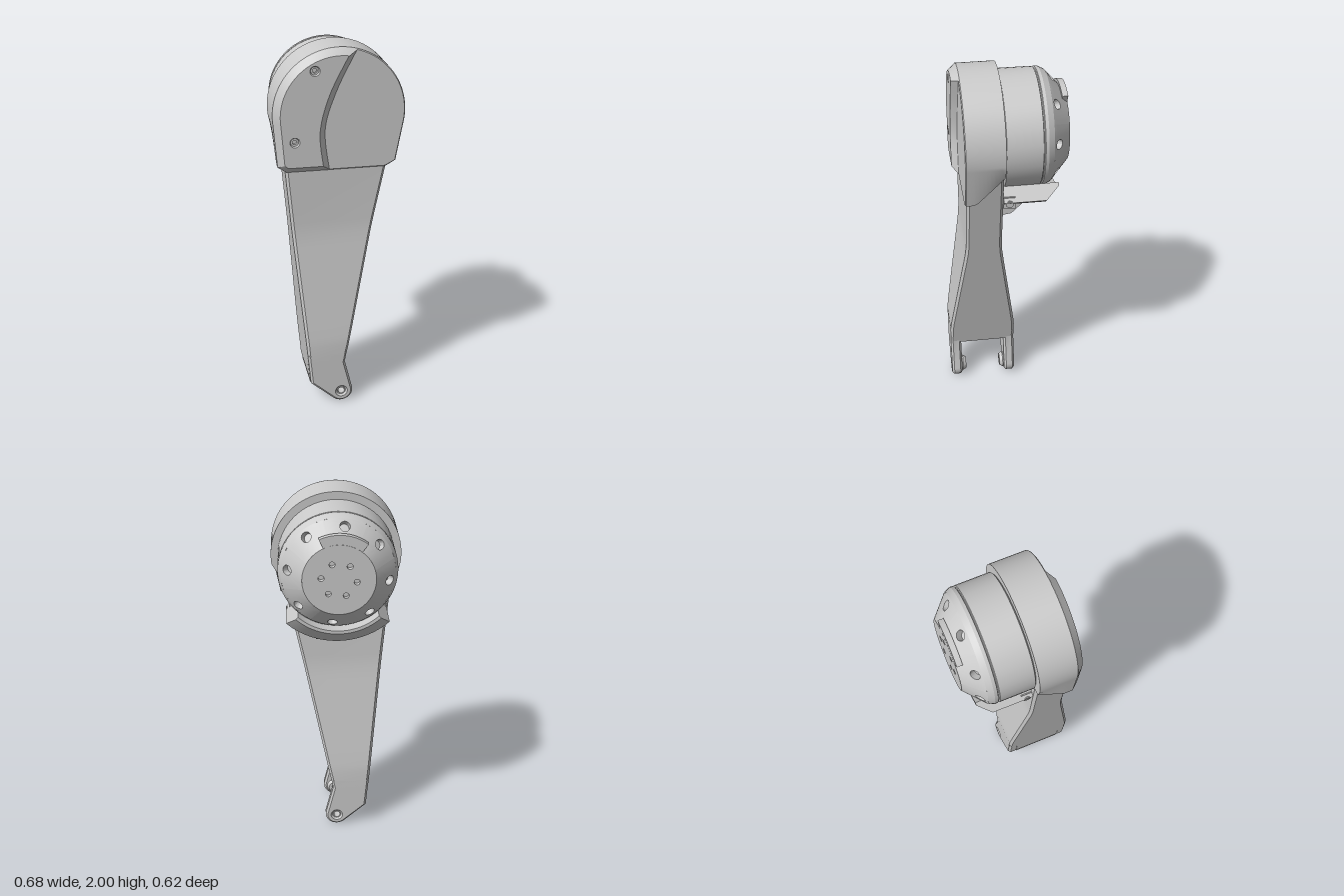
import * as THREE from 'three';
import { toCreasedNormals } from 'three/addons/utils/BufferGeometryUtils.js';
import { ParametricGeometry } from 'three/addons/geometries/ParametricGeometry.js';

const grey = new THREE.MeshStandardMaterial({ color: 0xcccccc });
const greyDouble = new THREE.MeshStandardMaterial({ color: 0xcccccc, side: THREE.DoubleSide });
const V2 = (x, y) => new THREE.Vector2(x, y);
const lerp = THREE.MathUtils.lerp;
const rad = THREE.MathUtils.degToRad;
const AXIS_Y = 1.658;

function part(parent, name, geometry, material = grey, crease = 0.5) {
  const mesh = new THREE.Mesh(toCreasedNormals(geometry, crease), material);
  mesh.name = name;
  parent.add(mesh);
  return mesh;
}

// Skin over equal-length loops (counter-clockwise in xy, rising in z), closed at both ends
function loft(loops, capEnd = true) {
  const n = loops[0].length, index = [];
  for (let k = 0; k < loops.length - 1; k++) {
    for (let i = 0; i < n; i++) {
      const a = k * n + i, b = k * n + (i + 1) % n;
      index.push(a, b, b + n, a, b + n, a + n);
    }
  }
  const cap = loop => THREE.ShapeUtils.triangulateShape(loop.map(p => V2(p.x, p.y)), []);
  for (const [a, b, c] of cap(loops[0])) index.push(a, c, b);
  const last = (loops.length - 1) * n;
  if (capEnd) for (const [a, b, c] of cap(loops.at(-1))) index.push(last + a, last + b, last + c);
  const g = new THREE.BufferGeometry().setFromPoints(loops.flat());
  g.setIndex(index);
  return g;
}

const atZ = (pts, z) => pts.map(p => new THREE.Vector3(p.x, p.y, z));
const arc = (cx, cy, r, from, to, n) => Array.from({ length: n + 1 }, (_, i) => {
  const a = rad(lerp(from, to, i / n));
  return V2(cx + r * Math.cos(a), cy + r * Math.sin(a));
});
const circlePath = (x, y, r) => new THREE.Path().absarc(x, y, r, 0, Math.PI * 2, true);

// Small stepped screw recess, opening along +z
function screwRecess(parent, name, x, y, z, r) {
  const pts = [V2(0, -r * 0.9), V2(r * 0.45, -r * 0.9), V2(r * 0.45, -r * 0.35), V2(r * 0.8, -r * 0.35), V2(r, 0)];
  const m = part(parent, name, new THREE.LatheGeometry(pts, 20).rotateX(Math.PI / 2), greyDouble);
  m.position.set(x, y, z);
  return m;
}

// Rounded housing with a slanted lower back edge and a raised, chamfered left panel
function buildCover(root) {
  const cover = new THREE.Group();
  cover.name = 'jointCover';
  root.add(cover);
  const outline = s => [...arc(0, 1.66, 0.342 - s, -8, 188, 64),
    V2(-0.32 + s, 1.39 + s * 0.3), V2(-0.275 + s * 0.4, 1.36 + s), V2(0.245 - s, 1.36 + s), V2(0.297 - s, 1.39 + s * 0.3)];
  const section = (z, bottom, s = 0) => atZ(outline(s).map(p => V2(p.x, Math.max(p.y, bottom))), z);
  const loops = [];
  for (let i = 0; i <= 9; i++) loops.push(section(0.027 + i * 0.02, 1.54 - i * 0.02));
  loops.push(section(0.225, 1.36), section(0.23, 1.36, 0.005));
  part(cover, 'coverBody', loft(loops));

  const curve = pts => new THREE.SplineCurve(pts).getPoints(24);
  const base = [...arc(0, 1.66, 0.342, 74, 188, 48), V2(-0.32, 1.39), V2(-0.275, 1.36),
    ...curve([V2(-0.048, 1.36), V2(-0.07, 1.58), V2(-0.01, 1.78), V2(0.09, 1.982)])];
  const top = [...arc(0, 1.66, 0.307, 82, 187, 48), V2(-0.288, 1.41), V2(-0.27, 1.395),
    ...curve([V2(-0.09, 1.395), V2(-0.106, 1.58), V2(-0.057, 1.77), V2(0.038, 1.962)])];
  part(cover, 'raisedPanelEdge', loft([atZ(base, 0.226), atZ(top, 0.264)], false));
  const face = new THREE.Shape(top);
  const screws = [[-0.13, 1.895], [-0.235, 1.53]];
  for (const [x, y] of screws) {
    face.holes.push(circlePath(x, y, 0.026));
    screwRecess(cover, 'coverScrew', x, y, 0.264, 0.026);
  }
  part(cover, 'raisedPanelFace', new THREE.ShapeGeometry(face).translate(0, 0, 0.264));
}

// Tapering arm flaring into a two-pronged fork
function buildArm(root) {
  const arm = new THREE.Group();
  arm.name = 'arm';
  root.add(arm);
  const left = y => lerp(-0.17, -0.28, (y - 0.13) / 1.23);
  const right = y => lerp(0.02, 0.25, (y - 0.25) / 1.11);
  const profile = [[0.25, 0.31], [0.36, 0.31], [0.41, 0.305], [0.5, 0.293], [0.93, 0.233], [1.0, 0.224], [1.07, 0.22], [1.55, 0.22]];
  const c = 0.014;
  const loops = profile.map(([y, zf]) => {
    const l = left(y), r = right(y), b = -zf, t = zf - 0.25;
    return atZ([V2(l + c, b), V2(r - c, b), V2(r, b + c), V2(r, t - c), V2(r - c, t), V2(l + c, t), V2(l, t - c), V2(l, b + c)], y);
  });
  part(arm, 'armBeam', loft(loops).rotateX(-Math.PI / 2), grey, 0.3);

  const b = 0.012;
  const prong = new THREE.Shape([V2(left(0.3) + b, 0.3), V2(-0.17 + b, 0.135),
    ...arc(0, 0.065, 0.064 - b, 230, 372, 16), V2(0.02 - b, 0.25), V2(0.03 - b, 0.3)]);
  prong.holes.push(circlePath(0, 0.065, 0.034));
  for (const side of [1, -1]) {
    const fork = new THREE.Group();
    fork.name = side > 0 ? 'frontProng' : 'rearProng';
    fork.position.z = 0.125;
    if (side < 0) fork.position.z -= 0.31;
    arm.add(fork);
    const g = new THREE.ExtrudeGeometry(prong, { depth: 0.06 - 2 * b, bevelEnabled: true, bevelSize: b, bevelThickness: b, bevelSegments: 1, curveSegments: 24 });
    part(fork, 'prongPlate', g.translate(0, 0, 0.125 + b));
    // Pivot bushing standing proud of the inner face
    const inner = side > 0 ? 0.1 : 0.21, outer = side > 0 ? 0.178 : 0.132;
    const [z0, z1] = side > 0 ? [inner, outer] : [outer, inner];
    const lip = (z, wide) => V2(wide, z);
    const ring = [lip(z0, 0.018), lip(z0, side > 0 ? 0.034 : 0.024), lip(z0 + 0.018, side > 0 ? 0.045 : 0.024),
      lip(z1 - 0.018, side > 0 ? 0.024 : 0.045), lip(z1, side > 0 ? 0.024 : 0.034), lip(z1, 0.018), lip(z0, 0.018)];
    part(fork, 'pivotBushing', new THREE.LatheGeometry(ring, 28).rotateX(Math.PI / 2), greyDouble).position.y = 0.065;
  }

  // Web joining the prongs, hollowed round the pivot
  const web = new THREE.Shape([V2(0.018, 0.26), ...[V2(left(0.26), 0.26), V2(-0.17, 0.13), V2(-0.152, 0.112)],
    ...arc(0, 0.065, 0.175, 164, 86, 16)]);
  part(arm, 'forkWeb', new THREE.ExtrudeGeometry(web, { depth: 0.27, bevelEnabled: false }).translate(0, 0, -0.01));
}

// Motor drum with a conical end cap, drilled cone and drilled end plate
function buildMotor(root) {
  const motor = new THREE.Group();
  motor.name = 'motor';
  motor.position.y = AXIS_Y;
  root.add(motor);
  const drum = [[0, -0.035], [0.295, -0.027], [0.305, -0.02], [0.305, 0.163], [0.298, 0.166], [0.298, 0.17], [0.305, 0.173], [0.305, 0.19], [0.29, 0.22]];
  const lathe = pts => new THREE.LatheGeometry(pts.map(p => V2(...p)), 64).rotateX(-Math.PI / 2);
  part(motor, 'motorDrum', lathe(drum), grey, 0.4);
  part(motor, 'endPlateFloor', lathe([[0.19, 0.29], [0, 0.29]]), greyDouble);

  for (let k = 0; k < 8; k++) {
    // One eighth of the cone: pit floor, pit wall, then rings spreading to the sector border
    const sector = (u, v, target) => {
      const row = v * 6, a = u * Math.PI * 2, cs = Math.cos(a), sn = Math.sin(a);
      const m = Math.max(Math.abs(cs), Math.abs(sn)), s = Math.max(0, (row - 2) / 4);
      const hole = Math.min(row, 1);
      const d = lerp(0.1 * cs * hole, Math.PI / 8 * cs / m, s);
      const t = (lerp(-0.4 + 0.38 * sn * hole, sn / m, s) + 1) / 2;
      const depth = row < 1.5 ? 0.035 : 0;
      const r = lerp(0.29, 0.185, t) - 0.67 * depth, y = lerp(0.22, 0.315, t) - 0.74 * depth;
      const phi = rad(-7 + 45 * k) + d;
      target.set(r * Math.sin(phi), r * Math.cos(phi), -y);
    };
    part(motor, 'drilledCone', new ParametricGeometry(sector, 32, 6), greyDouble);
  }

  const plate = new THREE.Shape().absarc(0, 0, 0.185, 0, Math.PI * 2);
  for (const p of arc(0, 0, 0.09, 7, 307, 5)) plate.holes.push(circlePath(p.x, p.y, 0.015));
  const slab = shape => new THREE.ExtrudeGeometry(shape, { depth: 0.03, bevelEnabled: false, curveSegments: 32 });
  part(motor, 'endPlate', slab(plate).translate(0, 0, -0.315));
  const tab = new THREE.Shape([...arc(0, 0, 0.235, 65, 128, 16), ...arc(0, 0, 0.178, 128, 65, 16)]);
  part(motor, 'endTab', slab(tab).translate(0, 0, -0.3145));
}

// Curved cradle under the motor
function buildCradle(root) {
  const cradle = new THREE.Group();
  cradle.name = 'motorCradle';
  root.add(cradle);
  const profile = new THREE.Shape([[0.303, 0.03], [0.303, -0.26], [0.32, -0.26], [0.393, -0.19], [0.393, 0.03]].map(p => V2(...p)));
  const g = new THREE.ExtrudeGeometry(profile, { depth: 1, steps: 28, bevelEnabled: false });
  const pos = g.attributes.position;
  for (let i = 0; i < pos.count; i++) {
    const r = pos.getX(i), z = pos.getY(i), phi = Math.PI + (pos.getZ(i) - 0.5) * 1.5;
    pos.setXYZ(i, r * Math.sin(phi), AXIS_Y + r * Math.cos(phi), z);
  }
  part(cradle, 'cradleBand', g);
  const foot = new THREE.Shape([[-0.03, 1.19], [0.03, 1.2], [0.09, 1.26], [0.09, 1.3], [-0.03, 1.3]].map(p => V2(...p)));
  const fg = new THREE.ExtrudeGeometry(foot, { depth: 0.22, bevelEnabled: false });
  part(cradle, 'cradleFoot', fg.rotateY(Math.PI / 2).translate(-0.11, 0, 0));
  const screw = screwRecess(cradle, 'cradleScrew', 0, 1.235, -0.0655, 0.02);
  screw.rotation.set(rad(45), Math.PI, 0);
  for (const side of [1, -1]) {
    const ear = part(cradle, 'cradleEar', new THREE.BoxGeometry(0.05, 0.07, 0.06));
    ear.position.set(side * 0.225, 1.36, 0);
    const bolt = part(cradle, 'earBolt', new THREE.CylinderGeometry(0.02, 0.02, 0.02, 20).rotateZ(Math.PI / 2));
    bolt.position.set(side * 0.255, 1.36, 0);
  }
}

export function createModel() {
  const root = new THREE.Group();
  root.name = 'jointedLegSegment';
  buildCover(root);
  buildArm(root);
  buildMotor(root);
  buildCradle(root);
  return root;
}
